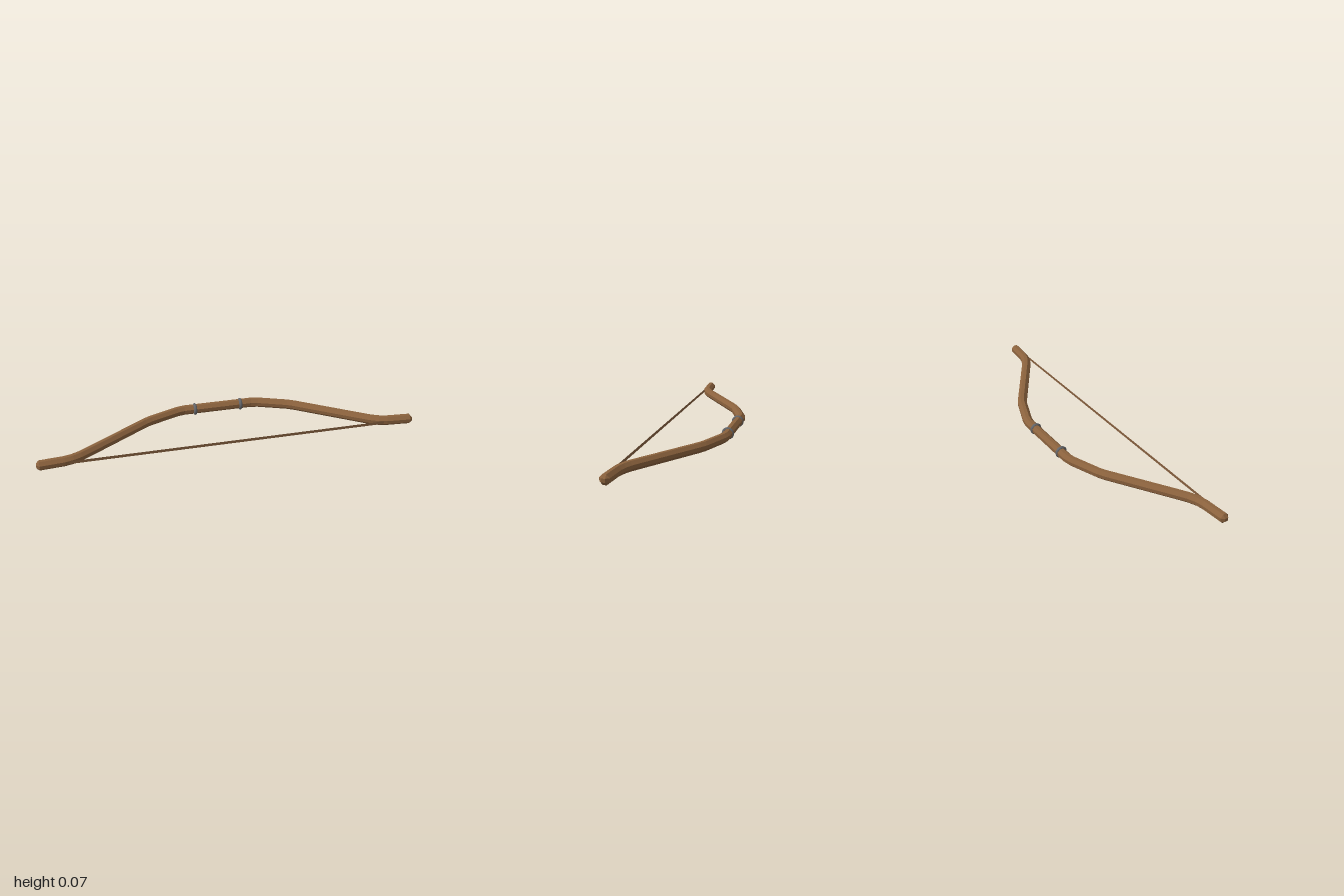
import * as THREE from 'three';

const Y = 0.034; // height of the bow's centre line

// Centre line of one half: x, z
const HALF = [
  [0.19, -0.176], [0.23, -0.168], [0.385, -0.11], [0.42, -0.091],
  [0.74, 0.117], [0.78, 0.142], [0.82, 0.16], [0.86, 0.17], [0.985, 0.18],
];

// Chamfered square section: sideways, up
const A = 0.025, B = 0.009;
const SECTION = [[A, -B], [A, B], [B, A], [-B, A], [-A, B], [-A, -B], [-B, -A], [B, -A]];
// Small square at the very end of each bevelled tip
const TIP = [[B, -B], [B, B], [-B, B], [-B, -B]];

// Sweep the section along the centre line, with mitred joints and bevelled tips
function sweepLimbs() {
  const path = [...HALF.map(([x, z]) => [-x, z]).reverse(), ...HALF];
  const n = SECTION.length, last = path.length - 1;
  const pos = [], idx = [];
  const dir = (i) => new THREE.Vector2(path[i + 1][0] - path[i][0], path[i + 1][1] - path[i][1]).normalize();
  path.forEach(([x, z], i) => {
    const d0 = dir(Math.max(i - 1, 0)), d1 = dir(Math.min(i, last - 1));
    const t = d0.clone().add(d1).normalize();
    const miter = 1 / t.dot(d1);
    for (const [u, v] of SECTION) pos.push(x - t.y * u * miter, Y + v, z + t.x * u * miter);
  });
  for (let i = 0; i < last; i++) {
    for (let j = 0; j < n; j++) {
      const k = (j + 1) % n, a = i * n, b = a + n;
      idx.push(a + j, b + j, b + k, a + j, b + k, a + k);
    }
  }
  // Tips: a square, four sloping sides and four corner triangles
  for (const side of [-1, 1]) {
    const ring = side > 0 ? last * n : 0;
    const inner = pos.length / 3;
    const tri = (a, b, c) => (side > 0 ? idx.push(a, b, c) : idx.push(a, c, b));
    for (const [u, v] of TIP) pos.push(side, Y + v, 0.181 + u);
    for (let j = 0; j < n; j++) {
      const k = (j + 1) % n;
      const cj = inner + ((j + 1) >> 1) % 4, ck = inner + ((k + 1) >> 1) % 4;
      if (cj !== ck) tri(ring + j, cj, ck);
      tri(ring + j, ck, ring + k);
    }
    tri(inner, inner + 2, inner + 1);
    tri(inner, inner + 3, inner + 2);
  }
  const geo = new THREE.BufferGeometry();
  geo.setAttribute('position', new THREE.Float32BufferAttribute(pos, 3));
  geo.setIndex(idx);
  const flat = geo.toNonIndexed();
  flat.computeVertexNormals();
  return flat;
}

export function createModel() {
  const wood = new THREE.MeshStandardMaterial({ name: 'wood brown', color: 0x8b623d, flatShading: true });
  const metal = new THREE.MeshStandardMaterial({ name: 'ring grey', color: 0x64666a });
  const cord = new THREE.MeshStandardMaterial({ name: 'string brown', color: 0x87603f, side: THREE.DoubleSide });

  const bow = new THREE.Group();
  bow.name = 'bow';
  const add = (name, geo, mat) => {
    const mesh = new THREE.Mesh(geo, mat);
    mesh.name = name;
    bow.add(mesh);
    return mesh;
  };

  // Grip and both limbs in one sweep
  add('limbs', sweepLimbs(), wood);

  // Rings at the ends of the grip
  for (const side of [-1, 1]) {
    const ring = add(side > 0 ? 'leftRing' : 'rightRing', new THREE.TorusGeometry(0.0235, 0.0092, 10, 32), metal);
    ring.rotation.y = Math.PI / 2;
    ring.position.set(side * 0.128, Y, -0.174);
  }

  // Flat string stretched between the limb tips
  add('string', new THREE.PlaneGeometry(1.8, 0.016), cord).position.set(0, Y, 0.19);

  return bow;
}
